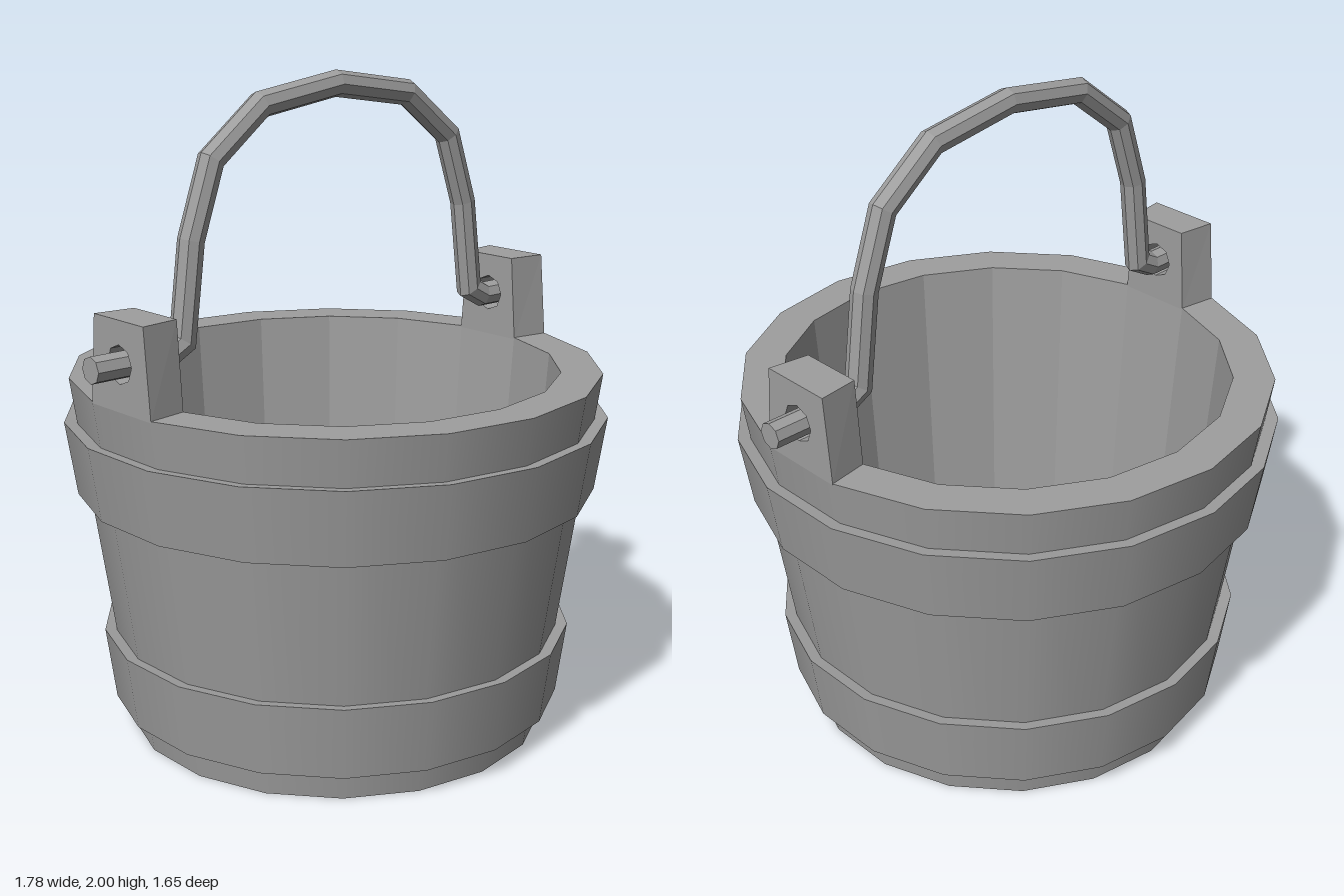
import * as THREE from 'three';
import { mergeGeometries } from 'three/addons/utils/BufferGeometryUtils.js';

const SIDES = 18;
const COLOR = 0x9e9e9e;
const smooth = new THREE.MeshStandardMaterial({ color: COLOR });
const flat = new THREE.MeshStandardMaterial({ color: COLOR, flatShading: true });

// Turned surface with a hard edge at every [radius, y] profile point
function turned(profile) {
  const rings = [];
  for (let i = 0; i < profile.length - 1; i++) {
    const pair = [profile[i], profile[i + 1]].map(([r, y]) => new THREE.Vector2(r, y));
    const ring = new THREE.LatheGeometry(pair, SIDES);
    ring.normalizeNormals();
    rings.push(ring);
  }
  return mergeGeometries(rings);
}

function add(group, name, geometry, material) {
  const mesh = new THREE.Mesh(geometry, material);
  mesh.name = name;
  group.add(mesh);
  return mesh;
}

// Upright lug: tapered plate with a pin hole, narrower toward the bucket centre
function earGeometry() {
  const shape = new THREE.Shape([
    new THREE.Vector2(-0.139, 1.11), new THREE.Vector2(0.139, 1.11),
    new THREE.Vector2(0.115, 1.372), new THREE.Vector2(-0.115, 1.372),
  ]);
  const hole = new THREE.Path();
  hole.absarc(0, 1.247, 0.056, 0, Math.PI * 2, true);
  shape.holes.push(hole);
  const geo = new THREE.ExtrudeGeometry(shape, { depth: 0.124, bevelEnabled: false, curveSegments: 4 });
  geo.rotateY(Math.PI / 2).translate(0.669, 0, 0);
  const p = geo.attributes.position;
  for (let i = 0; i < p.count; i++) {
    if (p.getX(i) < 0.7 && Math.abs(p.getZ(i)) > 0.08) p.setZ(i, p.getZ(i) * 0.86);
  }
  geo.computeVertexNormals();
  return geo;
}

// Octagonal rod swept along a path in the xy plane, with mitred corners
function rodGeometry(path, radius, sides = 8) {
  const pos = [], index = [];
  path.forEach((pt, i) => {
    const before = pt.clone().sub(path[Math.max(i - 1, 0)]).normalize();
    const after = path[Math.min(i + 1, path.length - 1)].clone().sub(pt).normalize();
    const dir = before.clone().add(after).normalize();
    const stretch = radius / dir.dot(i ? before : after);
    for (let k = 0; k < sides; k++) {
      const a = (k / sides) * Math.PI * 2;
      const s = Math.cos(a) * stretch;
      pos.push(pt.x - dir.y * s, pt.y + dir.x * s, Math.sin(a) * radius);
    }
  });
  const last = (path.length - 1) * sides;
  for (let i = 0; i < last; i += sides) {
    for (let k = 0; k < sides; k++) {
      const a = i + k, b = i + (k + 1) % sides;
      index.push(a, b, a + sides, b, b + sides, a + sides);
    }
  }
  // End caps
  for (let k = 1; k < sides - 1; k++) {
    index.push(0, k + 1, k, last, last + k, last + k + 1);
  }
  const geo = new THREE.BufferGeometry();
  geo.setAttribute('position', new THREE.Float32BufferAttribute(pos, 3));
  geo.setIndex(index);
  geo.computeVertexNormals();
  return geo;
}

export function createModel() {
  const bucket = new THREE.Group();
  bucket.name = 'bucket';

  // Tub: underside, tapered outer wall and rim, then faceted inside
  add(bucket, 'outerWall', turned([[0, 0], [0.645, 0], [0.805, 1.115], [0.68, 1.115]]), smooth);
  add(bucket, 'innerWall', turned([[0.68, 1.115], [0.605, 0.08], [0, 0.08]]), flat);

  // Hoops, their upper ledges dipping slightly inward
  add(bucket, 'lowerHoop', turned([[0.65, 0.088], [0.695, 0.088], [0.725, 0.312], [0.68, 0.306]]), smooth);
  add(bucket, 'upperHoop', turned([[0.745, 0.755], [0.79, 0.755], [0.824, 0.98], [0.775, 0.974]]), smooth);

  // Lugs on both sides
  const ear = earGeometry();
  add(bucket, 'leftEar', ear, flat);
  add(bucket, 'rightEar', ear, flat).rotation.y = Math.PI;

  // Handle: one half of the path mirrored, ending in the pins
  const half = [[0.888, 1.246], [0.635, 1.246], [0.577, 1.277], [0.54, 1.56], [0.465, 1.777], [0.285, 1.917]];
  const path = [
    ...half.map(([x, y]) => new THREE.Vector2(-x, y)),
    new THREE.Vector2(0, 1.96),
    ...half.reverse().map(([x, y]) => new THREE.Vector2(x, y)),
  ];
  add(bucket, 'handle', rodGeometry(path, 0.039), flat);

  return bucket;
}
